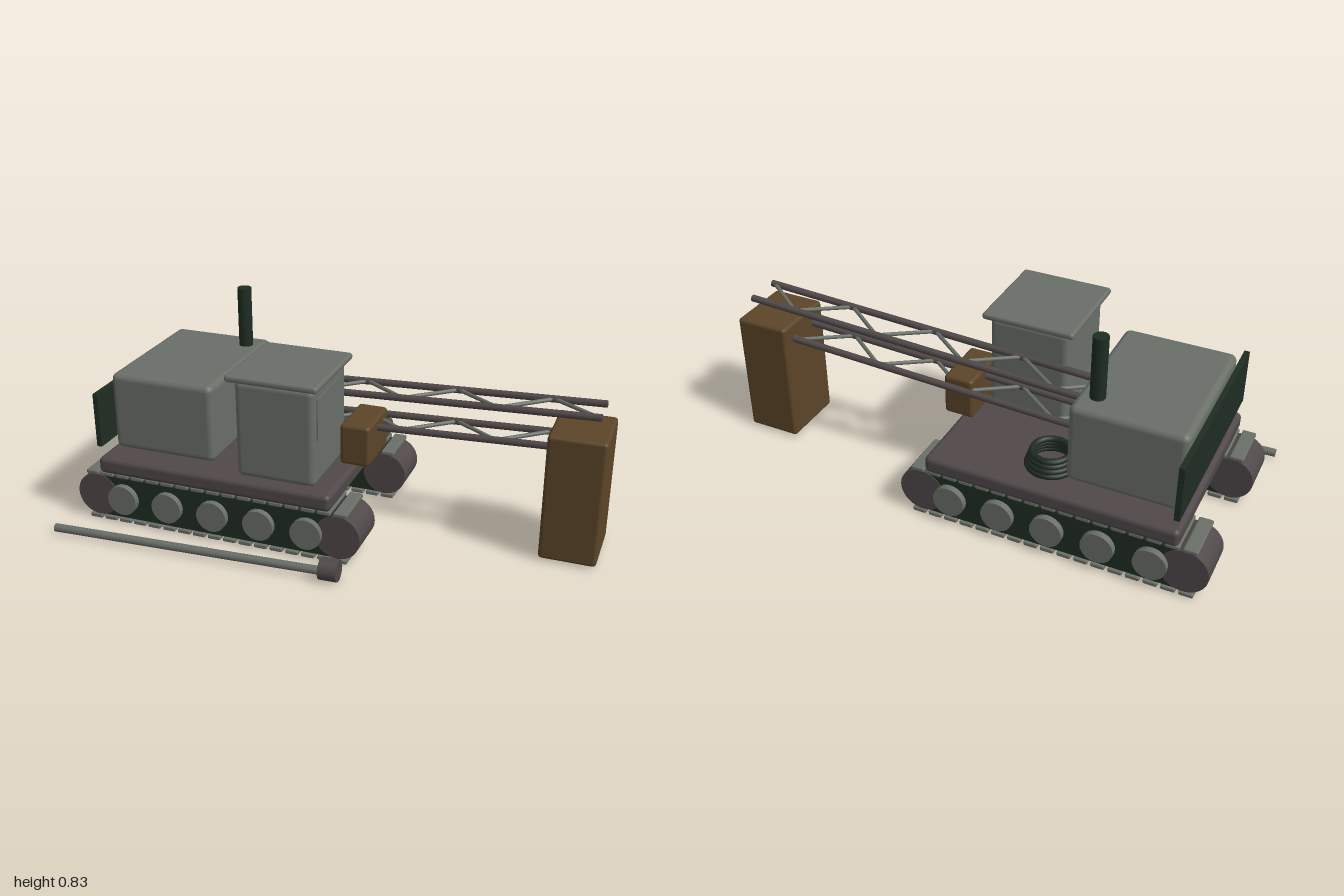
import * as THREE from 'three';
import { RoundedBoxGeometry } from 'three/addons/geometries/RoundedBoxGeometry.js';

const mat = (name, color) => {
  const m = new THREE.MeshStandardMaterial({ color });
  m.name = name;
  return m;
};

export function createModel() {
  const model = new THREE.Group();
  model.name = 'latticeBoomCrane';
  const panelGrey = mat('panelGrey', 0x6a6f68);
  const iron = mat('darkIron', 0x504849);
  const green = mat('darkGreen', 0x1f2d22);
  const brown = mat('rustBrown', 0x5c4529);

  const add = (parent, name, geometry, material, x = 0, y = 0, z = 0) => {
    const mesh = new THREE.Mesh(geometry, material);
    mesh.name = name;
    mesh.position.set(x, y, z);
    parent.add(mesh);
    return mesh;
  };

  // Box given by its extents on each axis, with rounded edges when r > 0
  const block = (parent, name, material, [x0, x1], [y0, y1], [z0, z1], r = 0) => {
    const size = [x1 - x0, y1 - y0, z1 - z0];
    const geometry = r ? new RoundedBoxGeometry(...size, 3, r) : new THREE.BoxGeometry(...size);
    return add(parent, name, geometry, material, (x0 + x1) / 2, (y0 + y1) / 2, (z0 + z1) / 2);
  };

  // Round bar between two points
  const bar = (parent, name, material, a, b, r, sides = 12) => {
    const dir = b.clone().sub(a);
    const mesh = add(parent, name, new THREE.CylinderGeometry(r, r, dir.length(), sides), material);
    mesh.position.copy(a).add(b).multiplyScalar(0.5);
    mesh.quaternion.setFromUnitVectors(new THREE.Vector3(0, 1, 0), dir.normalize());
    return mesh;
  };
  const V = (x, y, z) => new THREE.Vector3(x, y, z);

  // Crawler tracks: end drums, side frame, shoes, and road wheels on the outer side
  const midZ = -0.08;
  for (const side of [1, -1]) {
    const track = new THREE.Group();
    track.name = side > 0 ? 'leftTrack' : 'rightTrack';
    const z = midZ + side * 0.277;
    block(track, 'trackFrame', green, [-0.9, 0.095], [0.022, 0.193], [z - 0.084, z + 0.084]);
    for (const x of [-0.9, 0.097])
      bar(track, 'endDrum', iron, V(x, 0.108, z - 0.087), V(x, 0.108, z + 0.087), 0.088, 32);
    for (let i = 0; i < 17; i++) {
      const x = -0.917 + i * 0.0642;
      for (const y of [0.003, 0.194])
        block(track, 'trackShoe', panelGrey, [x - 0.026, x + 0.026], [y, y + 0.017], [z - 0.092, z + 0.092], 0.005);
    }
    for (let i = 0; i < 5; i++) {
      const x = -0.785 + i * 0.191;
      bar(track, 'roadWheel', panelGrey, V(x, 0.108, z + side * 0.07), V(x, 0.108, z + side * 0.109), 0.061, 24);
    }
    model.add(track);
  }

  // Upper works
  block(model, 'deck', iron, [-0.877, 0.075], [0.212, 0.28], [-0.463, 0.303], 0.02);
  block(model, 'engineHouse', panelGrey, [-0.853, -0.43], [0.282, 0.592], [-0.366, 0.203], 0.025);
  block(model, 'rearPanel', green, [-0.872, -0.852], [0.33, 0.545], [-0.463, 0.305]);
  bar(model, 'exhaustStack', green, V(-0.5, 0.57, -0.27), V(-0.5, 0.832, -0.27), 0.028, 20);

  // Cab with windscreen and roof
  block(model, 'cab', panelGrey, [-0.307, 0.004], [0.282, 0.665], [-0.065, 0.266], 0.025);
  block(model, 'windscreen', panelGrey, [0.0, 0.009], [0.466, 0.627], [0.01, 0.24]);
  block(model, 'cabRoof', panelGrey, [-0.332, 0.024], [0.664, 0.69], [-0.09, 0.291], 0.011);

  // Coiled cable on the deck
  const coil = new THREE.Group();
  coil.name = 'cableCoil';
  [0.084, 0.079, 0.073, 0.068].forEach((radius, i) => {
    const ring = add(coil, 'cableTurn', new THREE.TorusGeometry(radius, 0.012, 8, 32), green, -0.353, 0.293 + i * 0.017, -0.307);
    ring.rotation.x = Math.PI / 2;
  });
  model.add(coil);

  // Lattice boom: upper and lower pairs of chords, each with a zigzag of braces
  const boom = new THREE.Group();
  boom.name = 'boom';
  const chordZ = [-0.195, -0.063];
  for (const base of [0.514, 0.384]) {
    const at = (x, z) => V(x, base + (x + 0.49) * 0.043, z);
    for (const z of chordZ) bar(boom, 'boomChord', iron, at(-0.49, z), at(0.962, z), 0.0135);
    for (let i = 0; i < 8; i++) {
      const x = -0.49 + i * 0.18;
      bar(boom, 'boomBrace', panelGrey, at(x, chordZ[(i + 1) % 2]), at(x + 0.18, chordZ[i % 2]), 0.008, 8);
    }
  }
  model.add(boom);

  // Crates at the boom foot and the boom tip
  block(model, 'smallCrate', brown, [0.018, 0.135], [0.284, 0.447], [-0.185, 0.04], 0.014);
  block(model, 'hangingCrate', brown, [0.785, 1], [0.008, 0.507], [-0.257, 0.004], 0.014);

  // Loose pole lying beside the tracks
  const pole = new THREE.Group();
  pole.name = 'loosePole';
  bar(pole, 'poleShaft', panelGrey, V(-1, 0.025, 0.448), V(0.1, 0.033, 0.4), 0.016);
  bar(pole, 'poleHead', iron, V(0.077, 0.043, 0.399), V(0.146, 0.043, 0.396), 0.042, 24);
  model.add(pole);

  return model;
}
